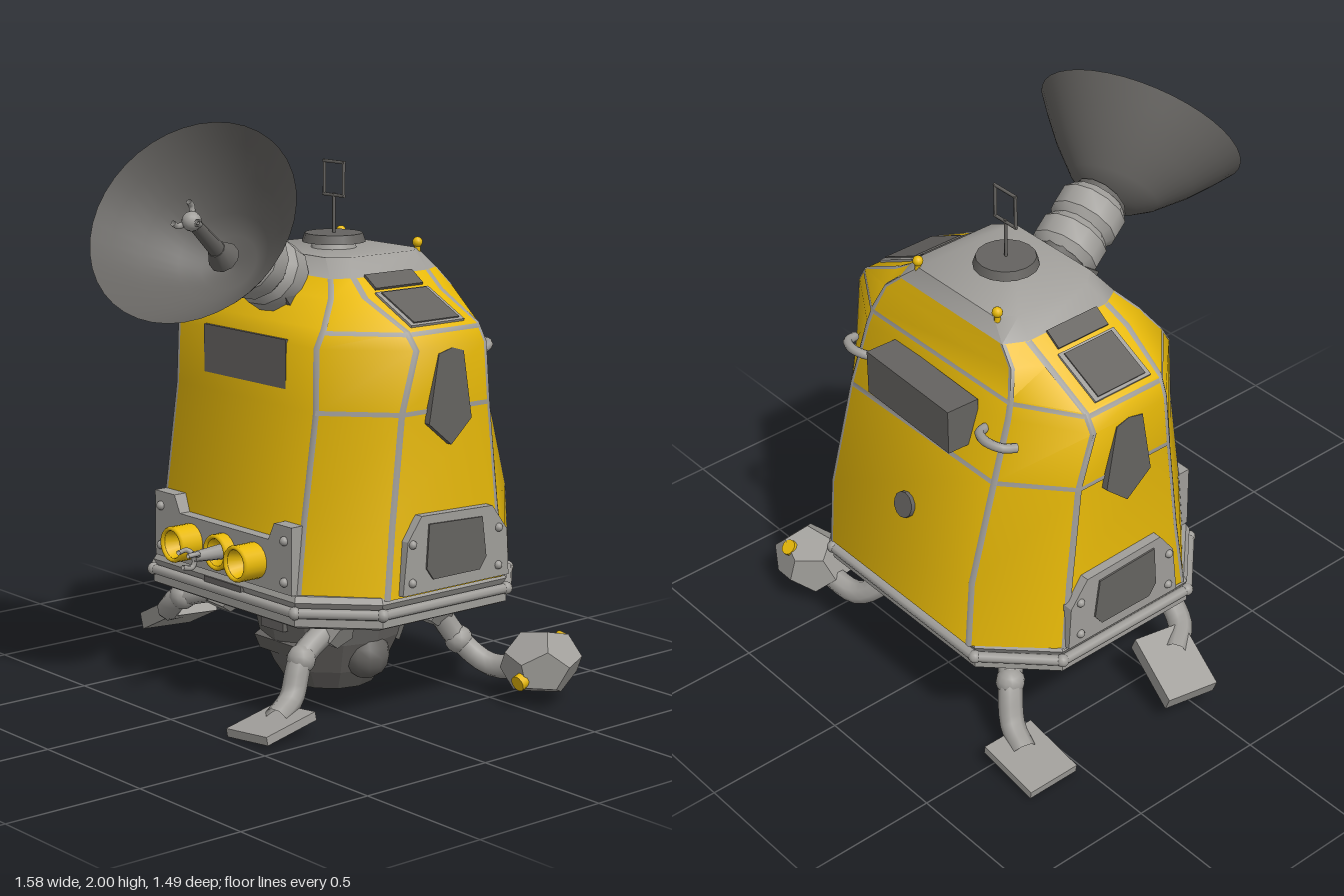
import * as THREE from 'three';
import { toCreasedNormals } from 'three/addons/utils/BufferGeometryUtils.js';

const mat = (name, color) => Object.assign(new THREE.MeshStandardMaterial({ color, side: THREE.DoubleSide }), { name });
const V = (x, y, z) => new THREE.Vector3(x, y, z);

// Eight-sided hull ring: side half-width X, front half-width F, back half-width B, and z stations
function ring([y, X, F, zf, zsf, zsb, zb, B]) {
  return [[F, zf], [X, zsf], [X, zsb], [B, zb], [-B, zb], [-X, zsb], [-X, zsf], [-F, zf]].map(([x, z]) => V(x, y, z));
}
const HULL = [
  [0.45, 0.59, 0.37, 0.24, 0.04, -0.49, -0.72, 0.37],
  [0.70, 0.578, 0.37, 0.215, 0.01, -0.46, -0.70, 0.37],
  [1.06, 0.575, 0.37, 0.165, -0.03, -0.42, -0.60, 0.37],
  [1.27, 0.597, 0.365, 0.16, -0.07, -0.38, -0.53, 0.36],
  [1.33, 0.56, 0.36, 0.125, -0.06, -0.38, -0.51, 0.35],
  [1.42, 0.38, 0.32, 0.06, -0.04, -0.38, -0.48, 0.32],
  [1.475, 0.30, 0.26, 0.01, -0.06, -0.39, -0.465, 0.26],
  [1.535, 0.24, 0.19, -0.03, -0.09, -0.38, -0.44, 0.19],
];
function hullAt(y) {
  const i = Math.max(1, HULL.findIndex(s => s[0] >= y));
  const a = HULL[i - 1], b = HULL[i], t = (y - a[0]) / (b[0] - a[0]);
  return ring(a.map((v, k) => v + (b[k] - v) * t));
}

// Skin over rings of equal length; optional list of sides to leave out
function loft(rings, { caps = false, closed = true, skip = [], crease = 0.6 } = {}) {
  const pos = [], n = rings[0].length;
  const tri = (...p) => p.forEach(v => pos.push(v.x, v.y, v.z));
  for (let j = 0; j + 1 < rings.length; j++) {
    for (let i = 0; i < (closed ? n : n - 1); i++) {
      if (skip.includes(i)) continue;
      const k = (i + 1) % n, a = rings[j], b = rings[j + 1];
      tri(a[i], a[k], b[k]);
      tri(a[i], b[k], b[i]);
    }
  }
  if (caps) {
    const lo = rings[0], hi = rings[rings.length - 1];
    for (let i = 1; i + 1 < n; i++) { tri(hi[0], hi[i], hi[i + 1]); tri(lo[0], lo[i + 1], lo[i]); }
  }
  const g = new THREE.BufferGeometry();
  g.setAttribute('position', new THREE.Float32BufferAttribute(pos, 3));
  g.computeVertexNormals();
  return toCreasedNormals(g, crease);
}
const outset = p => V(p.x * 1.005, p.y, (p.z + 0.22) * 1.005 - 0.22);

export function createModel() {
  const root = new THREE.Group();
  const yellow = mat('yellow paint', 0xebbc08), grey = mat('grey metal', 0xa09e9a), dark = mat('dark metal', 0x656360);

  const add = (name, geo, m, p = [0, 0, 0], r = [0, 0, 0], parent = root) => {
    const mesh = new THREE.Mesh(geo, m);
    mesh.name = name;
    mesh.position.set(...p);
    mesh.rotation.set(...r);
    parent.add(mesh);
    return mesh;
  };
  const box = (w, h, d) => new THREE.BoxGeometry(w, h, d);
  const cyl = (a, b, h, n = 16, open = false) => new THREE.CylinderGeometry(a, b, h, n, 1, open);
  const ball = r => new THREE.SphereGeometry(r, 12, 8);
  const tube = (pts, r, n = 8) => new THREE.TubeGeometry(new THREE.CatmullRomCurve3(pts.map(p => V(...p))), 14, r, n);
  const lathe = (pts, n) => new THREE.LatheGeometry(pts.map(p => new THREE.Vector2(...p)), n);
  const plate = (pts, depth) => {
    const s = new THREE.Shape(pts.map(p => new THREE.Vector2(...p)));
    return new THREE.ExtrudeGeometry(s, { depth, bevelEnabled: false });
  };

  // Symmetric hull parts share one slightly offset group
  const hull = new THREE.Group();
  hull.name = 'hull';
  hull.position.x = -0.018;
  root.add(hull);
  const addHull = (name, geo, m, p, r) => add(name, geo, m, p, r, hull);

  // Cabin and roof
  const rings = HULL.map(ring);
  addHull('cabin', loft(rings.slice(0, 7), { crease: 0.95 }), yellow);
  addHull('roof', loft(rings.slice(6), { caps: true, crease: 0.95 }), grey);

  // Seams along the corners and around the waist and shoulder
  for (let i = 0; i < 8; i++) {
    const strip = rings.slice(0, 7).map(r => [-1, 0, 1].map(k =>
      outset(k ? r[i].clone().add(r[(i + k + 8) % 8].clone().sub(r[i]).setLength(0.012)) : r[i].clone())));
    addHull('cornerSeam', loft(strip, { closed: false, crease: 0.95 }), grey);
  }
  for (const [y, h] of [[1.06, 0.008], [1.32, 0.007]])
    addHull('ringSeam', loft([hullAt(y - h), hullAt(y + h)].map(r => r.map(outset)), { skip: [7], crease: 0.95 }), grey);

  // Base ring with pipe and bolts
  const base = (y, s) => ring([y, 0.59 * s, 0.385 * s, 0.485 * s - 0.22, 0.28 * s - 0.22, -0.28 * s - 0.22, -0.485 * s - 0.22, 0.385 * s]);
  addHull('baseRing', loft([base(0.345, 0.94), base(0.36, 1), base(0.4, 1), base(0.41, 0.97), base(0.44, 1), base(0.46, 0.98)], { caps: true }), grey);
  const corner = base(0.405, 1);
  corner.forEach((p, i) => {
    const q = corner[(i + 1) % 8], d = q.clone().sub(p);
    const pipe = addHull('basePipe', cyl(0.018, 0.018, d.length(), 8), grey, p.clone().add(q).divideScalar(2).toArray());
    pipe.quaternion.setFromUnitVectors(V(0, 1, 0), d.normalize());
    addHull('baseBolt', ball(0.022), grey, p.toArray());
  });
  addHull('basePanel', box(0.2, 0.03, 0.02), dark, [0.01, 0.425, 0.262]);

  // Belly pod
  const flat = g => { const f = g.toNonIndexed(); f.computeVertexNormals(); return f; };
  add('bellyPod', flat(lathe([[0, 0.01], [0.155, 0.01], [0.2, 0.08], [0.25, 0.19], [0.275, 0.3], [0.26, 0.335], [0.2, 0.35]], 12)), dark, [-0.02, 0, -0.22]);
  for (const s of [1, -1]) {
    add('podPort', box(0.12, 0.09, 0.05), dark, [-0.02, 0.275, -0.22 + s * 0.24]);
    add('podSlot', box(0.24, 0.06, 0.04), dark, [-0.02, 0.165, -0.22 + s * 0.215], [s * 0.45, 0, 0]);
    add('podNozzle', ball(0.085), dark, [-0.02 + s * 0.19, 0.135, -0.22]);
  }
  add('podFlap', box(0.05, 0.15, 0.16), dark, [-0.28, 0.14, -0.3], [0, 0, 0.6]);

  // Legs: three with foot plates
  const leg = (name, pts, foot, size, rot) => {
    const g = new THREE.Group();
    g.name = name;
    root.add(g);
    add('hip', new THREE.DodecahedronGeometry(0.085), grey, pts[0], [0, 0, 0], g);
    add('limb', tube(pts, 0.042), grey, [0, 0, 0], [0, 0, 0], g);
    add('knee', ball(0.05), grey, pts[1], [0, 0, 0], g);
    if (foot) add('foot', box(...size), grey, foot, rot, g);
  };
  leg('frontLeftLeg', [[0.28, 0.31, 0.03], [0.3, 0.22, 0.18], [0.32, 0.1, 0.24], [0.35, 0.055, 0.33]], [0.35, 0.04, 0.35], [0.19, 0.03, 0.23], [0.16, 0.1, 0.05]);
  leg('frontRightLeg', [[-0.31, 0.31, 0.02], [-0.45, 0.27, 0.1], [-0.55, 0.2, 0.09], [-0.62, 0.17, 0]], [-0.65, 0.145, -0.03], [0.25, 0.06, 0.19], [0, -0.2, 0.42]);
  leg('backRightLeg', [[-0.27, 0.31, -0.43], [-0.41, 0.22, -0.56], [-0.48, 0.1, -0.61], [-0.56, 0.055, -0.63]], [-0.6, 0.045, -0.635], [0.24, 0.03, 0.2], [0, 0, 0.17]);

  // Fourth limb ends in a faceted pod with flush yellow lamps
  leg('backLeftArm', [[0.29, 0.31, -0.42], [0.33, 0.17, -0.51], [0.43, 0.09, -0.57], [0.6, 0.12, -0.6]]);
  add('armPod', new THREE.DodecahedronGeometry(0.14, 0), grey, [0.64, 0.14, -0.605], [0.2, 0.3, 0.1]).scale.set(1.05, 0.85, 0.95);
  for (const [p, r] of [[[0.66, 0.095, -0.489], [Math.PI / 2 + 0.3, 0, 0]], [[0.66, 0.212, -0.685], [-0.75, 0, 0]]])
    add('armLamp', cyl(0.028, 0.028, 0.03, 12), yellow, p, r);

  // Front lamp panel
  add('lampPanel', plate([[-0.39, 0.46], [0.35, 0.46], [0.35, 0.69], [0.26, 0.69], [0.23, 0.63], [-0.25, 0.63], [-0.28, 0.69], [-0.39, 0.69]], 0.06), grey, [0, 0, 0.205]);
  for (const x of [-0.355, 0.315]) for (const y of [0.5, 0.64]) add('panelBolt', ball(0.016), grey, [x, y, 0.267]);
  for (const [x, len] of [[-0.185, 0.085], [-0.005, 0.04], [0.16, 0.085]]) {
    add('lampHousing', cyl(0.062, 0.062, len, 20, true), yellow, [x, 0.545, 0.262 + len / 2], [Math.PI / 2, 0, 0]);
    add('lampRim', new THREE.TorusGeometry(0.055, 0.008, 6, 20), yellow, [x, 0.545, 0.262 + len]);
    add('lampLens', lathe([[0, 0], [0.03, 0.006], [0.052, len]], 20), yellow, [x, 0.545, 0.267], [Math.PI / 2, 0, 0]);
  }
  add('clawStem', cyl(0.018, 0.028, 0.12, 8), grey, [-0.005, 0.545, 0.335], [Math.PI / 2, 0, 0]);
  for (let i = 0; i < 3; i++) {
    const c = Math.cos(i * 2.09 + 0.5), s = Math.sin(i * 2.09 + 0.5);
    add('clawFinger', tube([[-0.005, 0.545, 0.385], [-0.005 + 0.035 * c, 0.545 + 0.035 * s, 0.4], [-0.005 + 0.03 * c, 0.545 + 0.03 * s, 0.44]], 0.009, 6), grey);
  }

  // Front window and back equipment
  add('frontWindow', box(0.435, 0.165, 0.075), dark, [-0.02, 1.2, 0.127]);
  add('backBox', box(0.44, 0.16, 0.12), dark, [-0.02, 1.2, -0.59], [0, -0.04, 0]);
  for (const x of [-0.365, 0.32])
    add('backHandle', tube([[x - 0.075, 1.2, -0.545], [x - 0.055, 1.21, -0.59], [x, 1.215, -0.61], [x + 0.055, 1.21, -0.59], [x + 0.075, 1.2, -0.545]], 0.016), grey);
  add('backPort', cyl(0.045, 0.045, 0.025, 12), dark, [-0.02, 0.8, -0.675], [Math.PI / 2 + 0.28, 0, 0]);

  // Mirrored side hatches and windows; outlines run as (-z, y)
  const sidePlate = (name, pts, m, x, s, depth) =>
    addHull(name, plate(pts, depth).rotateY(Math.PI / 2), m, [s > 0 ? x : -x - depth, 0, 0]);
  for (const s of [1, -1]) {
    sidePlate('hatchFrame', [[0.01, 0.46], [0.49, 0.46], [0.48, 0.62], [0.41, 0.71], [0.09, 0.72], [0.03, 0.64]], grey, 0.54, s, 0.07);
    sidePlate('hatchGlass', [[0.14, 0.5], [0.35, 0.5], [0.38, 0.54], [0.36, 0.68], [0.12, 0.69], [0.11, 0.54]], dark, 0.55, s, 0.066);
    for (const z of [-0.05, -0.44]) for (const y of [0.5, 0.63]) addHull('hatchBolt', ball(0.015), grey, [s * 0.61, y, z]);
    sidePlate('sideWindow', [[0.23, 0.94], [0.32, 1.02], [0.28, 1.25], [0.23, 1.265], [0.17, 1.25], [0.13, 1.02]], dark, 0.56, s, 0.038);
    addHull('shoulderFrame', box(0.2, 0.012, 0.235), grey, [s * 0.457, 1.384, -0.21], [0, 0, -s * 0.46]);
    addHull('shoulderWindow', box(0.18, 0.018, 0.2), dark, [s * 0.457, 1.386, -0.21], [0, 0, -s * 0.46]);
    addHull('shoulderPatch', box(0.07, 0.014, 0.21), dark, [s * 0.327, 1.459, -0.21], [0, 0, -s * 0.6]);
  }

  // Roof hatch, loop aerial and yellow lamps
  add('roofHatchBase', cyl(0.07, 0.08, 0.03, 16), grey, [-0.02, 1.545, -0.23]);
  add('roofHatch', cyl(0.1, 0.11, 0.03, 16), dark, [-0.02, 1.57, -0.23]);
  add('aerialRod', cyl(0.006, 0.006, 0.14, 6), dark, [-0.02, 1.65, -0.23]);
  for (const s of [1, -1]) {
    add('aerialLoopSide', cyl(0.006, 0.006, 0.12, 6), dark, [-0.02 + s * 0.05, 1.77, -0.23]);
    add('aerialLoopBar', cyl(0.006, 0.006, 0.11, 6), dark, [-0.02, 1.77 + s * 0.057, -0.23], [0, 0, Math.PI / 2]);
    add('roofLampStem', cyl(0.01, 0.012, 0.06, 8), yellow, [-0.02 + s * 0.2, 1.525, -0.435]);
    add('roofLamp', ball(0.018), yellow, [-0.02 + s * 0.2, 1.555, -0.435]);
  }

  // Dish on a jointed neck, aimed along its axis
  const dish = new THREE.Group();
  dish.name = 'dish';
  dish.position.set(0.165, 1.7, 0.525);
  dish.quaternion.setFromUnitVectors(V(0, 1, 0), V(0.31, 0.56, 0.76).normalize());
  root.add(dish);
  const inDish = (name, geo, m, y) => add(name, geo, m, [0, y, 0], [0, 0, 0], dish);
  inDish('dishBowl', lathe([[0, -0.31], [0.1, -0.29], [0.16, -0.245], [0.25, -0.15], [0.32, -0.06], [0.363, 0]], 40), dark, 0);
  inDish('feedCollar', cyl(0.03, 0.055, 0.06, 10), dark, -0.22);
  inDish('feedRod', cyl(0.022, 0.03, 0.22, 8), dark, -0.12);
  inDish('feedTip', ball(0.033), grey, 0);
  for (let i = 0; i < 3; i++) {
    const c = Math.cos(i * 2.09), s = Math.sin(i * 2.09);
    inDish('feedProng', tube([[0, 0, 0], [0.045 * c, 0.015, 0.045 * s], [0.05 * c, 0.04, 0.05 * s]], 0.01, 6), grey, 0);
  }
  const joint = toCreasedNormals(lathe([[0, -0.065], [0.1, -0.065], [0.122, -0.035], [0.122, 0.035], [0.1, 0.065], [0, 0.065]], 12), 0.6);
  for (const p of [[0.03, 1.475, 0.085], [0.06, 1.53, 0.195]])
    add('neckJoint', joint, grey, p).quaternion.setFromUnitVectors(V(0, 1, 0), V(0.25, 0.45, 0.85).normalize());
  add('neckCore', tube([[0.01, 1.44, 0.01], [0.045, 1.5, 0.135], [0.08, 1.555, 0.27]], 0.098, 12), dark);
  add('neckMount', box(0.22, 0.09, 0.05), dark, [0.02, 1.42, 0.06], [-0.95, 0, 0]);

  return root;
}
